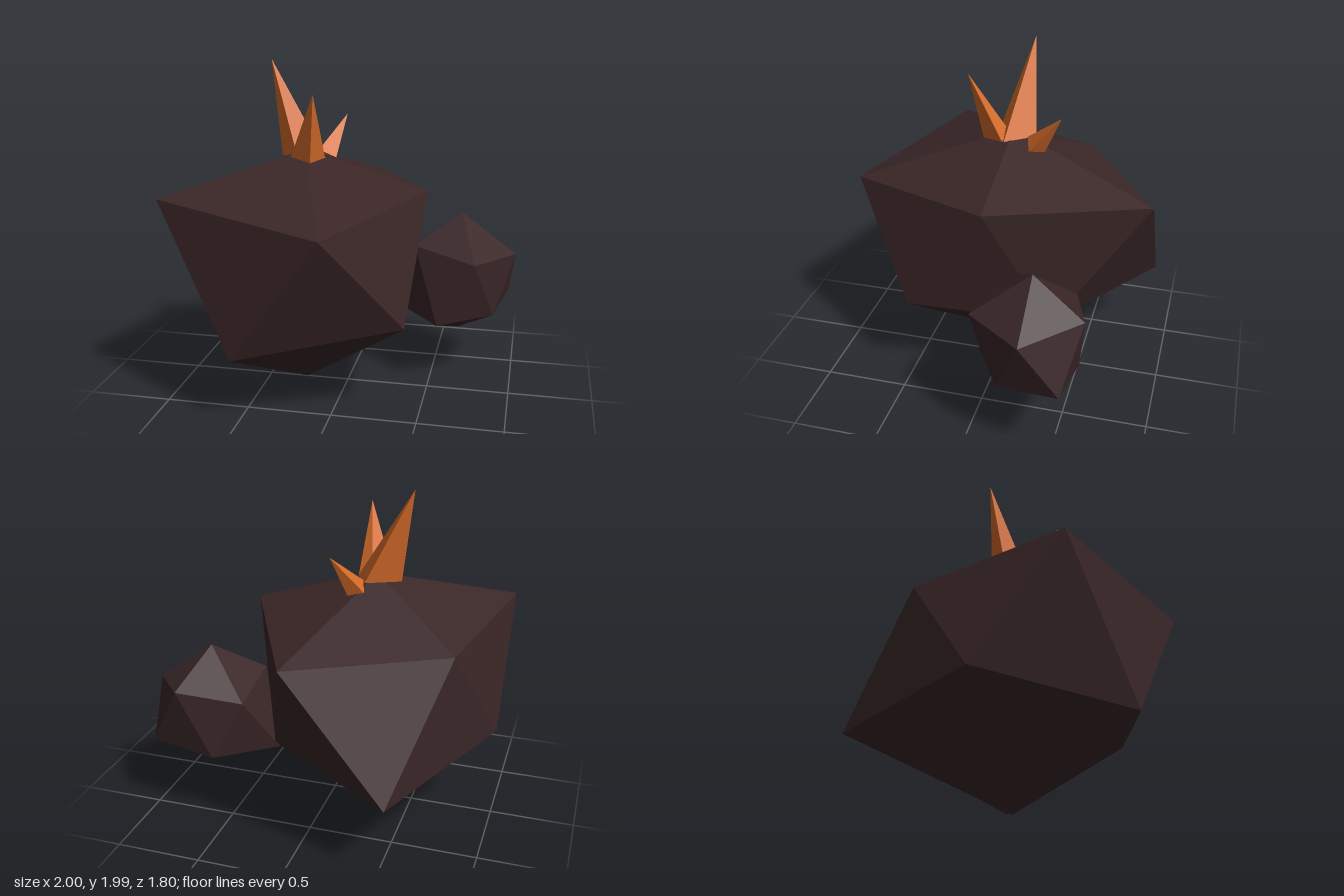
import * as THREE from 'three';

const stone = new THREE.MeshStandardMaterial({ color: 0x3a2627, flatShading: true });
stone.name = 'dark stone';
const ember = new THREE.MeshStandardMaterial({ color: 0xd66c2a, flatShading: true });
ember.name = 'orange crystal';

function facetedMesh(name, faces, material) {
  const geometry = new THREE.BufferGeometry();
  geometry.setAttribute('position', new THREE.Float32BufferAttribute(faces.flat(2), 3));
  geometry.computeVertexNormals();
  const mesh = new THREE.Mesh(geometry, material);
  mesh.name = name;
  return mesh;
}

// Irregular 20-sided rock: two poles joined by two staggered rings of five corners
function rock(name, top, upper, lower, bottom) {
  const faces = [];
  for (let i = 0; i < 5; i++) {
    const j = (i + 1) % 5;
    faces.push(
      [top, upper[j], upper[i]],
      [upper[i], upper[j], lower[i]],
      [upper[j], lower[j], lower[i]],
      [lower[i], lower[j], bottom]
    );
  }
  return facetedMesh(name, faces, stone);
}

// Leaning four-sided spike with a closed base
function spike(name, tip, base) {
  const faces = base.map((p, i) => [tip, base[(i + 1) % 4], p]);
  faces.push([base[0], base[1], base[2]], [base[0], base[2], base[3]]);
  return facetedMesh(name, faces, ember);
}

export function createModel() {
  const model = new THREE.Group();
  model.name = 'crystalRock';

  // Main boulder
  model.add(rock('largeRock', [-0.26, 1.47, 0],
    [[0.48, 1.25, 0], [0.03, 1.17, 0.9], [-1, 1.25, 0.52], [-0.8, 1.17, -0.4], [0.03, 1.19, -0.9]],
    [[0.42, 0.56, 0.48], [-0.51, 0.41, 0.77], [-1, 0.56, 0], [-0.55, 0.46, -0.9], [0.26, 0.47, -0.37]],
    [-0.26, 0, 0]));

  // Smaller boulder set into its side
  model.add(rock('smallRock', [0.66, 1.04, -0.34],
    [[1, 0.79, -0.34], [0.77, 0.8, -0.01], [0.39, 0.86, -0.16], [0.39, 0.78, -0.54], [0.76, 0.85, -0.65]],
    [[0.88, 0.43, -0.19], [0.55, 0.4, -0.01], [0.25, 0.42, -0.33], [0.57, 0.43, -0.6], [0.96, 0.48, -0.56]],
    [0.66, 0.28, -0.34]));

  // Cluster of spikes on the summit
  const spikes = new THREE.Group();
  spikes.name = 'spikes';
  spikes.add(
    spike('tallSpike', [-0.48, 1.99, -0.08],
      [[-0.13, 1.43, 0.03], [-0.28, 1.43, 0.1], [-0.4, 1.43, 0], [-0.22, 1.45, -0.15]]),
    spike('middleSpike', [-0.15, 1.83, 0.25],
      [[-0.13, 1.43, 0.04], [-0.19, 1.42, 0.17], [-0.32, 1.44, 0.11], [-0.22, 1.47, 0.02]]),
    spike('shortSpike', [-0.07, 1.64, -0.33],
      [[-0.1, 1.4, -0.13], [-0.2, 1.45, -0.1], [-0.23, 1.41, -0.2], [-0.14, 1.39, -0.22]])
  );
  model.add(spikes);
  return model;
}
